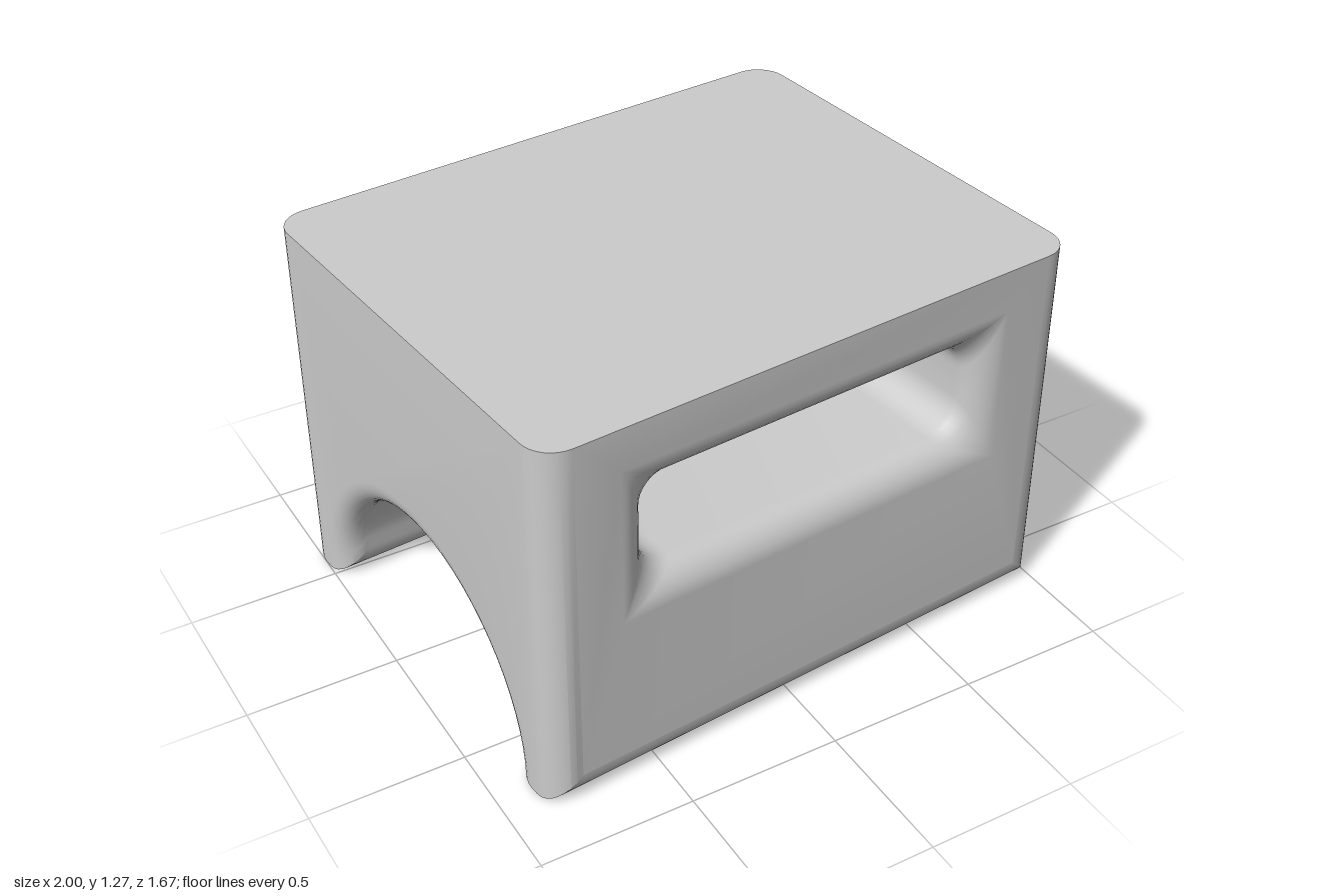
import * as THREE from 'three';
import { mergeGeometries, toCreasedNormals } from 'three/addons/utils/BufferGeometryUtils.js';

const H = 1.27;            // height
const A = 0.844, B = 0.663; // half width and depth, less the edge radius
const r = 0.1;             // edge radius
const a = A + r, b = B + r;
const R = 0.53;            // arch radius
const SLOT = { w: 0.595, y: 0.865, h: 0.165, corner: 0.11 };
const N = 8;               // steps per rounded edge
const steps = (n, fn) => Array.from({ length: n + 1 }, (_, i) => fn(i / n));

// Surface through rows of points
function grid(rows) {
  const pos = [];
  for (let i = 0; i + 1 < rows.length; i++) {
    for (let j = 0; j + 1 < rows[i].length; j++) {
      const p = rows[i][j], q = rows[i][j + 1], s = rows[i + 1][j + 1], t = rows[i + 1][j];
      pos.push(...p, ...q, ...t, ...q, ...s, ...t);
    }
  }
  const g = new THREE.BufferGeometry();
  g.setAttribute('position', new THREE.Float32BufferAttribute(pos, 3));
  return g;
}

function flat(points, hole) {
  const shape = new THREE.Shape(points.map(([x, y]) => new THREE.Vector2(x, y)));
  if (hole) shape.holes.push(new THREE.Path(hole.map(([x, y]) => new THREE.Vector2(x, y))));
  const g = new THREE.ShapeGeometry(shape).toNonIndexed();
  g.deleteAttribute('uv');
  g.deleteAttribute('normal');
  return g;
}

// Rounded rectangle, counterclockwise
function roundRect(w, h, c, cy = 0) {
  const corners = [[1, -1], [1, 1], [-1, 1], [-1, -1]];
  return corners.flatMap(([sx, sy], k) => steps(N, t => {
    const ang = (k - 1 + t) * Math.PI / 2;
    return [sx * (w - c) + c * Math.cos(ang), cy + sy * (h - c) + c * Math.sin(ang)];
  }));
}

// Height of the foot's rounded underside at distance z from the middle
function underside(z) {
  const d = Math.max(0, z - B, R + r - z);
  return r - Math.sqrt(Math.max(0, r * r - d * d));
}

// Foot, arch and other foot as [z, y], drawn in by e near the ends
function profile(e) {
  const k = r - e, half = [];
  steps(N, t => half.push(B + k * Math.cos(t * Math.PI / 2)));
  steps(N, t => half.push(R + r - k * Math.sin(t * Math.PI / 2)));
  const foot = half.map(z => [z, underside(z)]);
  const y0 = underside(R + e);
  const arch = steps(32, t => [(R + e) * Math.cos(t * Math.PI), y0 + (R + e - y0) * Math.sin(t * Math.PI)]);
  return [...foot, ...arch.slice(1, -1), ...foot.map(([z, y]) => [-z, y]).reverse()];
}

export function createModel() {
  const parts = [];

  // Cross-sections from the right end to the left end
  const end = steps(N, t => ({
    x: A + r * Math.sin(t * Math.PI / 2), e: r * (1 - Math.cos(t * Math.PI / 2)),
  }));
  const farEnd = end.map(s => ({ x: -s.x, e: s.e })).reverse();

  // Arched underside with rounded feet
  parts.push(grid([...farEnd, ...end].map(({ x, e }) => profile(e).map(([z, y]) => [x, y, z]))));

  // Rounded upright corners
  for (const run of [farEnd, end]) {
    parts.push(grid(run.map(({ x, e }) => [[x, H, b - e], [x, underside(b - e), b - e]])));
    parts.push(grid(run.map(({ x, e }) => [[x, underside(b - e), e - b], [x, H, e - b]])));
  }

  // End faces
  for (const s of [1, -1]) {
    const outline = [[-B, H], ...profile(r).reverse(), [B, H]]
      .filter((p, i, l) => i === 0 || Math.hypot(p[0] - l[i - 1][0], p[1] - l[i - 1][1]) > 1e-6);
    parts.push(flat(outline).rotateY(s * Math.PI / 2).translate(s * a, 0, 0));
  }

  // Front and back walls, open at the slot
  const { w, y, h, corner } = SLOT;
  const rect = (x, lo, hi) => [[-x, lo], [x, lo], [x, hi], [-x, hi]];
  for (const turn of [0, Math.PI]) {
    parts.push(flat(rect(A, r, H), rect(w + r, y - h - r, y + h + r)).translate(0, 0, b).rotateY(turn));
  }

  // Slot running through, flared to square corners at both mouths
  const mouth = steps(N, t => {
    const ang = t * Math.PI / 2;
    return { o: r * (1 - Math.sin(ang)), z: B + r * Math.cos(ang) };
  });
  const rings = [...mouth, ...mouth.map(m => ({ o: m.o, z: -m.z })).reverse()];
  parts.push(grid(rings.map(({ o, z }) => {
    const ring = roundRect(w + o, h + o, corner * (1 - o / r), y);
    return [...ring, ring[0]].map(([px, py]) => [px, py, z]);
  })));

  // Flat top
  parts.push(flat(roundRect(a, b, r)).rotateX(-Math.PI / 2).translate(0, H, 0));

  const block = new THREE.Mesh(
    toCreasedNormals(mergeGeometries(parts), 0.5),
    new THREE.MeshStandardMaterial({ color: 0xcccccc }),
  );
  block.name = 'archedBlock';
  block.rotation.y = 0.089;

  const group = new THREE.Group();
  group.name = 'slottedArchBlock';
  group.add(block);
  return group;
}
